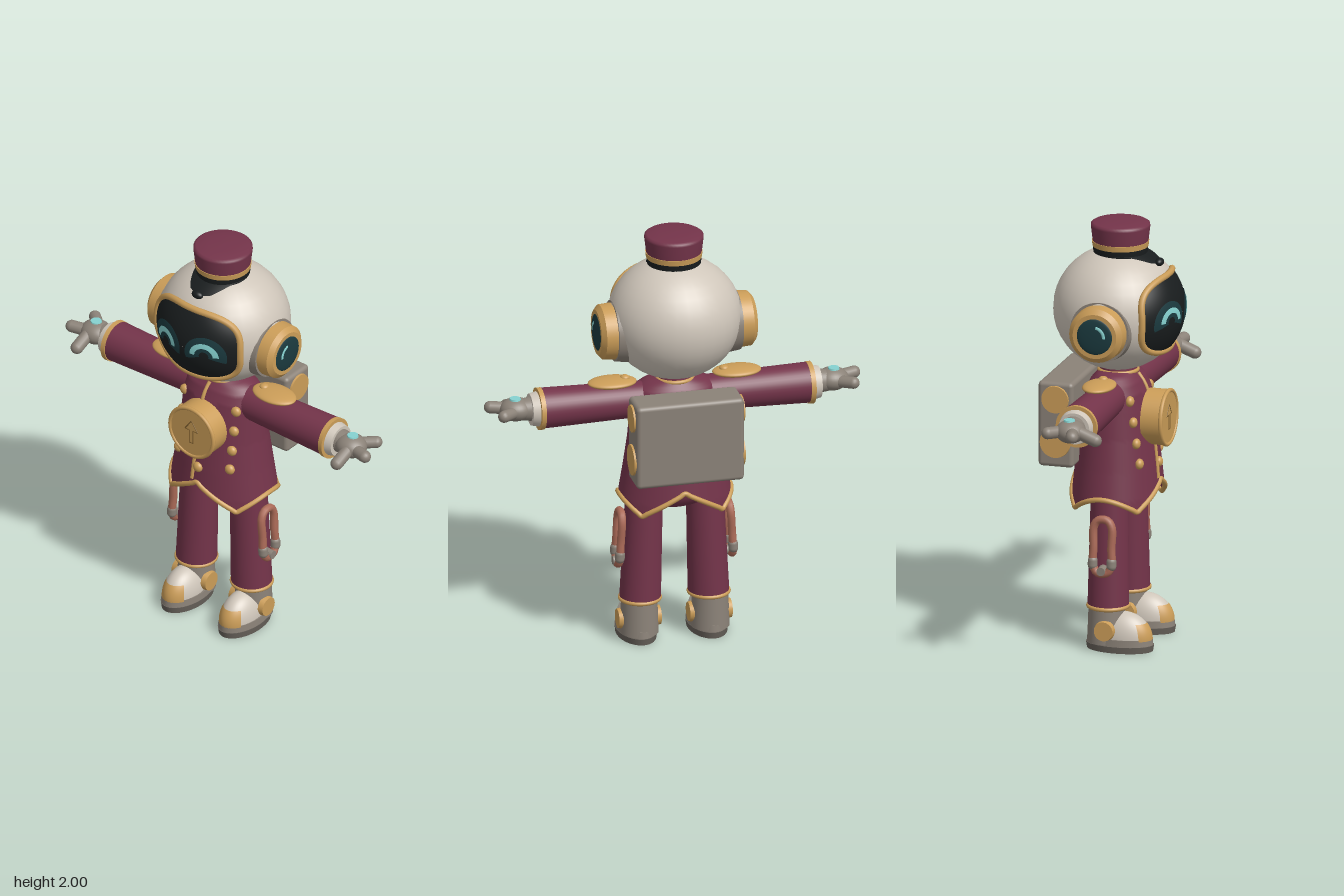
import * as THREE from 'three';
import { ParametricGeometry } from 'three/addons/geometries/ParametricGeometry.js';
import { RoundedBoxGeometry } from 'three/addons/geometries/RoundedBoxGeometry.js';

const paint = (name, color, side = THREE.FrontSide) => {
  const m = new THREE.MeshStandardMaterial({ color, side });
  m.name = name;
  return m;
};
const V = (x, y, z) => new THREE.Vector3(x, y, z);
const lerp = THREE.MathUtils.lerp;

export function createModel() {
  const maroon = paint('maroon cloth', 0x74344a, THREE.DoubleSide);
  const gold = paint('gold', 0xcb9d58);
  const darkGold = paint('dark gold', 0x80602f);
  const cream = paint('cream shell', 0xcfc6ba);
  const grey = paint('warm grey', 0x8b8278);
  const soleGrey = paint('sole grey', 0x67615a);
  const black = paint('black', 0x191d1e, THREE.DoubleSide);
  const teal = paint('dark teal', 0x1b3a3f, THREE.DoubleSide);
  const cyan = paint('cyan glow', 0x86d2d0, THREE.DoubleSide);
  const copper = paint('copper', 0xac6b58);

  const model = new THREE.Group();
  model.name = 'helmetedBellhop';
  const add = (name, geo, mat, p = [0, 0, 0], scale = [1, 1, 1]) => {
    const m = new THREE.Mesh(geo, mat);
    m.name = name;
    m.position.set(...p);
    m.scale.set(...scale);
    model.add(m);
    return m;
  };
  const ball = (name, mat, p, r) => add(name, new THREE.SphereGeometry(1, 32, 20), mat, p, r);
  const cyl = (name, mat, rTop, rBottom, h, p, scale) =>
    add(name, new THREE.CylinderGeometry(rTop, rBottom, h, 40), mat, p, scale);
  // Cylinder lying along x, its top facing outwards on side s
  const xCyl = (name, mat, rOut, rIn, x0, x1, y, z, s) => {
    const m = cyl(name, mat, rOut, rIn, x1 - x0, [s * (x0 + x1) / 2, y, z]);
    m.rotation.z = -s * Math.PI / 2;
    return m;
  };
  const tube = (name, mat, pts, r, closed = false) =>
    add(name, new THREE.TubeGeometry(new THREE.CatmullRomCurve3(pts, closed), pts.length * 4, r, 10, closed), mat);
  const rod = (name, mat, a, b, r) => {
    const m = add(name, new THREE.CapsuleGeometry(r, a.distanceTo(b), 8, 16), mat, a.clone().add(b).multiplyScalar(0.5).toArray());
    m.quaternion.setFromUnitVectors(V(0, 1, 0), b.clone().sub(a).normalize());
  };

  // Helmet: ellipsoid, with a helper for points on its front
  const HY = 1.585, RX = 0.312, RY = 0.29, RZ = 0.3;
  ball('helmet', cream, [0, HY, 0], [RX, RY, RZ]);
  const onFace = (x, y, lift) =>
    V(x, HY + y, RZ * Math.sqrt(Math.max(0, 1 - (x / RX) ** 2 - (y / RY) ** 2)) + lift);
  const oval = (a, hw, hh) => {
    const c = Math.cos(a), s = Math.sin(a), e = 2 / 2.8;
    return [hw * Math.sign(c) * Math.abs(c) ** e, hh * Math.sign(s) * Math.abs(s) ** e];
  };
  add('visor', new ParametricGeometry((u, v, t) => {
    const [x, y] = oval(-u * Math.PI * 2, 0.245, 0.176);
    const r = lerp(0.01, 1, v);
    t.copy(onFace(x * r, y * r, 0.009));
  }, 64, 14), black);
  tube('visorRim', gold, Array.from({ length: 48 }, (_, i) => {
    const [x, y] = oval((i + 0.5) / 48 * Math.PI * 2, 0.244, 0.177);
    return onFace(x, y, 0.004);
  }), 0.016, true);

  // Smiling eyes: arcs laid on the visor
  const eyeArc = (name, mat, cx, cy, r0, r1, a0, a1, lift) =>
    add(name, new ParametricGeometry((u, v, t) => {
      const a = lerp(a1, a0, u), r = lerp(r0, r1, v);
      t.copy(onFace(cx + r * Math.cos(a), cy + r * Math.sin(a), lift));
    }, 32, 6), mat);
  for (const s of [-1, 1]) {
    eyeArc('eyeHalo', teal, s * 0.11, -0.018, 0.022, 0.096, -0.35, Math.PI + 0.35, 0.012);
    eyeArc('eye', cyan, s * 0.11, -0.018, 0.042, 0.067, 0, Math.PI, 0.015);
  }

  // Ear pods
  for (const s of [-1, 1]) {
    xCyl('earSeal', grey, 0.142, 0.152, 0.22, 0.295, 1.54, 0, s);
    xCyl('earPod', gold, 0.128, 0.135, 0.25, 0.35, 1.54, 0, s);
    xCyl('earBevel', gold, 0.105, 0.128, 0.35, 0.37, 1.54, 0, s);
    ball('earLens', teal, [s * 0.368, 1.54, 0], [0.012, 0.086, 0.086]);
    const glint = add('earGlint', new THREE.TorusGeometry(0.045, 0.009, 8, 20, 1.5), cyan, [s * 0.376, 1.54, 0], [1, 1, 0.5]);
    glint.rotation.y = Math.PI / 2;
    glint.rotation.order = 'YXZ';
    glint.rotation.z = Math.PI * 0.55;
  }

  // Pillbox hat with peak and strap
  add('hat', new THREE.LatheGeometry([[0.125, 1.875], [0.128, 1.9], [0.137, 1.975], [0.136, 1.986], [0.125, 1.993], [0.07, 1.999], [0, 2]]
    .map(p => new THREE.Vector2(...p)), 48), maroon, [0, 0, 0.01]);
  cyl('hatBand', gold, 0.132, 0.129, 0.026, [0, 1.893, 0.01]);
  cyl('hatBase', black, 0.128, 0.124, 0.04, [0, 1.862, 0.01]);
  add('hatPeak', new ParametricGeometry((u, v, t) => {
    const z = lerp(0.19, 0.02, v), w = lerp(0.03, 0.13, Math.sqrt(v)), x = (2 * u - 1) * w;
    t.set(x, HY + 0.008 + RY * Math.sqrt(1 - (x / RX) ** 2 - (z / RZ) ** 2), z);
  }, 16, 16), black);
  ball('hatStrapEnd', black, [0, 1.815, 0.198], [0.03, 0.019, 0.02]);

  // Jacket: elliptical rings from the shaped hem up to the neck; rows are y, rx, rz
  const rows = [[0.64, 0.27, 0.212], [0.72, 0.264, 0.208], [0.85, 0.242, 0.195], [1, 0.22, 0.177], [1.12, 0.21, 0.16],
    [1.2, 0.205, 0.145], [1.25, 0.19, 0.122], [1.275, 0.155, 0.1], [1.3, 0.08, 0.08]];
  const onJacket = (a, y, lift = 0) => {
    let i = 0;
    while (i < rows.length - 2 && y > rows[i + 1][0]) i++;
    const [p, q] = [rows[i], rows[i + 1]], k = (y - p[0]) / (q[0] - p[0]);
    return V(Math.sin(a) * (lerp(p[1], q[1], k) + lift), y, Math.cos(a) * (lerp(p[2], q[2], k) + lift));
  };
  const hem = a => {
    const d = Math.acos(Math.abs(Math.cos(a))) / (Math.PI / 2); // 0 at front and back, 1 at sides
    return d < 0.5 ? lerp(0.78, 0.665, d * 2) : lerp(0.665, 0.73, Math.sin((d - 0.5) * Math.PI));
  };
  add('jacket', new ParametricGeometry((u, v, t) => {
    const a = u * Math.PI * 2;
    t.copy(onJacket(a, lerp(hem(a), 1.3, v)));
  }, 64, 40), maroon);
  tube('hemTrim', gold, Array.from({ length: 64 }, (_, i) => {
    const a = i / 64 * Math.PI * 2;
    return onJacket(a, hem(a));
  }), 0.012, true);
  tube('frontTrim', gold, Array.from({ length: 12 }, (_, i) => onJacket(-0.12 + 0.006 * i, 0.79 + i * 0.0445, 0.001)), 0.009);
  cyl('neck', maroon, 0.085, 0.09, 0.06, [0, 1.3, 0]);
  add('collar', new THREE.TorusGeometry(0.088, 0.01, 10, 40), gold, [0, 1.288, 0]).rotation.x = Math.PI / 2;

  // Buttons and chest medallion
  const button = (x, y) => {
    const p = onJacket(Math.asin(x / onJacket(Math.PI / 2, y).x), y);
    ball('button', gold, p.toArray(), [0.025, 0.025, 0.02]);
  };
  for (const s of [-1, 1]) for (const y of [1.18, 1.08, 0.98, 0.885]) button(s * 0.15, y);
  button(0, 0.86);
  cyl('medallion', gold, 0.13, 0.13, 0.1, [0, 1.075, 0.194]).rotation.x = Math.PI / 2;
  add('medallionRim', new THREE.TorusGeometry(0.126, 0.01, 10, 48), gold, [0, 1.075, 0.24]);
  const arrow = [[-0.011, -0.055], [-0.011, 0.012], [-0.036, 0.012], [0, 0.064], [0.036, 0.012], [0.011, 0.012], [0.011, -0.055]];
  arrow.forEach((p, i) => {
    const q = arrow[(i + 1) % arrow.length];
    rod('arrowLine', darkGold, V(p[0], 1.075 + p[1], 0.243), V(q[0], 1.075 + q[1], 0.243), 0.003);
  });

  // Backpack with round side plates
  add('backpack', new RoundedBoxGeometry(0.51, 0.405, 0.17, 3, 0.02), grey, [0, 1.068, -0.225]);
  for (const s of [-1, 1]) {
    xCyl('packPlate', gold, 0.064, 0.068, 0.24, 0.264, 1.19, -0.225, s);
    xCyl('packPlate', gold, 0.072, 0.076, 0.24, 0.264, 0.985, -0.225, s);
  }

  // Arms and hands
  for (const s of [-1, 1]) {
    xCyl('sleeve', maroon, 0.095, 0.083, 0.12, 0.64, 1.19, 0, s);
    xCyl('sleeveTrim', gold, 0.099, 0.098, 0.628, 0.65, 1.188, 0, s);
    xCyl('shirtCuff', cream, 0.074, 0.084, 0.64, 0.685, 1.188, 0, s);
    ball('epaulette', gold, [s * 0.295, 1.285, 0], [0.115, 0.022, 0.075]);
    ball('epauletteButton', gold, [s * 0.235, 1.302, 0], [0.022, 0.014, 0.022]);
    xCyl('wrist', grey, 0.05, 0.058, 0.67, 0.73, 1.192, 0, s);
    ball('palm', grey, [s * 0.75, 1.195, 0.005], [0.077, 0.054, 0.07]);
    const finger = (b, r) => rod('finger', grey, V(s * 0.765, 1.195, b[2] * 0.4), V(s * b[0], b[1], b[2]), r);
    finger([0.828, 1.2, -0.083], 0.028);
    finger([0.862, 1.2, 0.045], 0.029);
    finger([0.765, 1.165, 0.128], 0.03);
    cyl('handLight', cyan, 0.025, 0.027, 0.008, [s * 0.755, 1.248, 0]);
  }

  // Trousers, leg pipes and boots
  ball('hips', maroon, [0, 0.745, 0], [0.21, 0.1, 0.12]);
  for (const s of [-1, 1]) {
    rod('thigh', maroon, V(s * 0.14, 0.8, 0), V(s * 0.145, 0.6, 0), 0.086);
    const leg = cyl('trouserLeg', maroon, 0.086, 0.096, 0.56, [s * 0.152, 0.48, 0.002]);
    leg.rotation.z = s * 0.036;
    add('trouserTrim', new THREE.TorusGeometry(0.092, 0.01, 10, 36), gold, [s * 0.163, 0.203, 0.002]).rotation.x = Math.PI / 2;

    const loop = [[0.6, 0.043], [0.5, 0.043], [0.43, 0.045], [0.39, 0.03], [0.38, 0], [0.39, -0.03],
      [0.43, -0.045], [0.5, -0.043], [0.6, -0.043], [0.632, -0.022], [0.632, 0.022]];
    tube('legPipe', copper, loop.map(([y, z]) => V(s * (0.255 + (0.64 - y) * 0.06), y, z + 0.005)), 0.019, true);
    for (const z of [-0.04, 0.05]) rod('pipeJoint', grey, V(s * 0.269, 0.42, z), V(s * 0.268, 0.44, z), 0.023);
    xCyl('pipeValve', grey, 0.02, 0.024, 0.23, 0.292, 0.395, 0.005, s);

    const x = s * 0.168;
    cyl('bootSole', soleGrey, 0.093, 0.09, 0.03, [x, 0.015, 0.06], [1, 1, 1.74]);
    cyl('bootWelt', grey, 0.089, 0.091, 0.035, [x, 0.045, 0.06], [1, 1, 1.74]);
    cyl('bootShaft', grey, 0.084, 0.09, 0.16, [x, 0.115, -0.004]);
    const toe = [0.083, 0.125, 0.134];
    add('bootToe', new THREE.SphereGeometry(1, 36, 20, 0, Math.PI * 2, 0, Math.PI / 2), cream, [x, 0.055, 0.078], toe);
    add('toeCap', new THREE.SphereGeometry(1.025, 24, 14, Math.PI / 2 - 0.85, 1.7, 0.92, Math.PI / 2 - 0.92),
      gold, [x, 0.055, 0.078], toe);
    for (const k of [-1, 1]) {
      const plate = cyl('anklePlate', gold, 0.045, 0.05, 0.025, [x + k * 0.088, 0.102, 0.01]);
      plate.rotation.z = -k * Math.PI / 2;
    }
  }
  return model;
}
